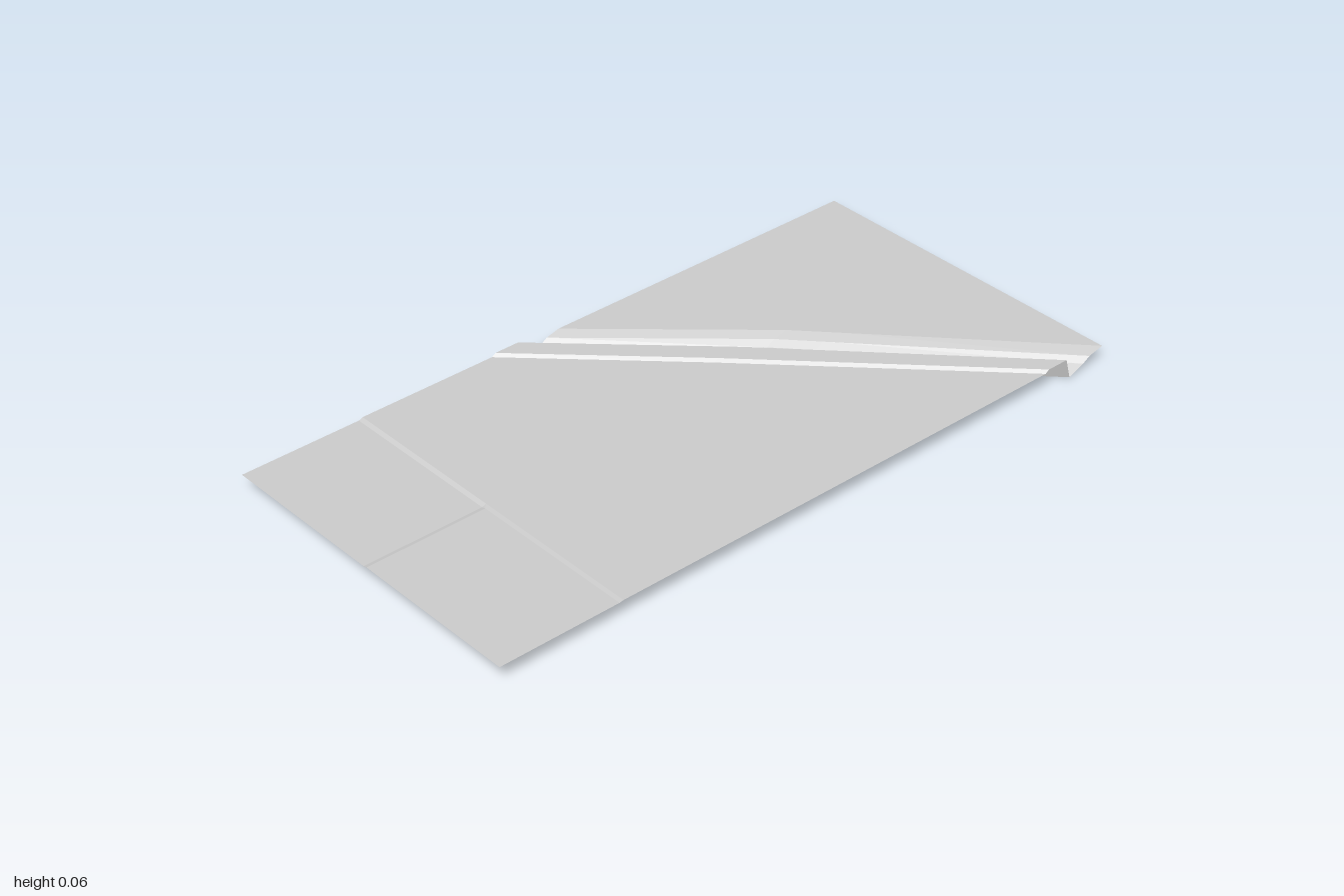
import * as THREE from 'three';

const ROWS = [-0.5, -0.1, -0.006, 0.006, 0.5];
const BEND = -0.1; // z where the channel bends

// Straight edge line in plan: x at the back, at the bend and at the front
const line = (back, bend, front) => (z) => z < BEND
  ? THREE.MathUtils.mapLinear(z, -0.5, BEND, back, bend)
  : THREE.MathUtils.mapLinear(z, BEND, 0.5, bend, front);
const at = (x) => () => x;
const level = at;

// Each column is [x(z), y(z)]
const padHeight = (z) => (z < 0 ? 0.047 : 0.05);
const C = {
  leftEdge: [at(-1), padHeight],
  padEdge: [at(-0.647), padHeight],
  padTop: [at(-0.635), level(0.052)],
  leveeFoot: [line(-0.222, 0.19, 0.785), level(0.052)],
  leveeShoulder: [line(-0.21, 0.203, 0.797), level(0.06)],
  leveeCrest: [line(-0.135, 0.283, 0.863), level(0.06)],
  channelFloor: [line(-0.117, 0.302, 0.88), level(0)],
  bankLow: [line(-0.062, 0.372, 0.93), level(0.02)],
  bankShelf: [line(-0.04, 0.4, 0.953), level(0.034)],
  bankTop: [line(0, 0.44, 1), level(0.045)],
  rightEdge: [at(1), level(0.045)],
};

export function createModel() {
  const group = new THREE.Group();
  group.name = 'terrain';
  const ground = new THREE.MeshStandardMaterial({ color: 0xcccccc, side: THREE.DoubleSide });
  ground.name = 'ground grey';

  // Flat-faced sheet between successive columns
  function sheet(name, columns) {
    const pos = [];
    const point = ([x, y], z) => [x(z), y(z), z];
    for (let c = 0; c < columns.length - 1; c++) {
      for (let r = 0; r < ROWS.length - 1; r++) {
        const a = point(columns[c], ROWS[r]);
        const b = point(columns[c], ROWS[r + 1]);
        const d = point(columns[c + 1], ROWS[r]);
        const e = point(columns[c + 1], ROWS[r + 1]);
        pos.push(...a, ...b, ...d);
        if (e[0] - b[0] > 1e-6) pos.push(...b, ...e, ...d);
      }
    }
    const geometry = new THREE.BufferGeometry();
    geometry.setAttribute('position', new THREE.Float32BufferAttribute(pos, 3));
    geometry.computeVertexNormals();
    const mesh = new THREE.Mesh(geometry, ground);
    mesh.name = name;
    group.add(mesh);
  }

  sheet('leftPlain', [C.leftEdge, C.padEdge, C.padTop, C.leveeFoot]);
  sheet('levee', [C.leveeFoot, C.leveeShoulder, C.leveeCrest]);
  sheet('channelWall', [C.leveeCrest, C.channelFloor]);
  sheet('channelBank', [C.channelFloor, C.bankLow, C.bankShelf, C.bankTop]);
  sheet('rightPlain', [C.bankTop, C.rightEdge]);
  return group;
}
